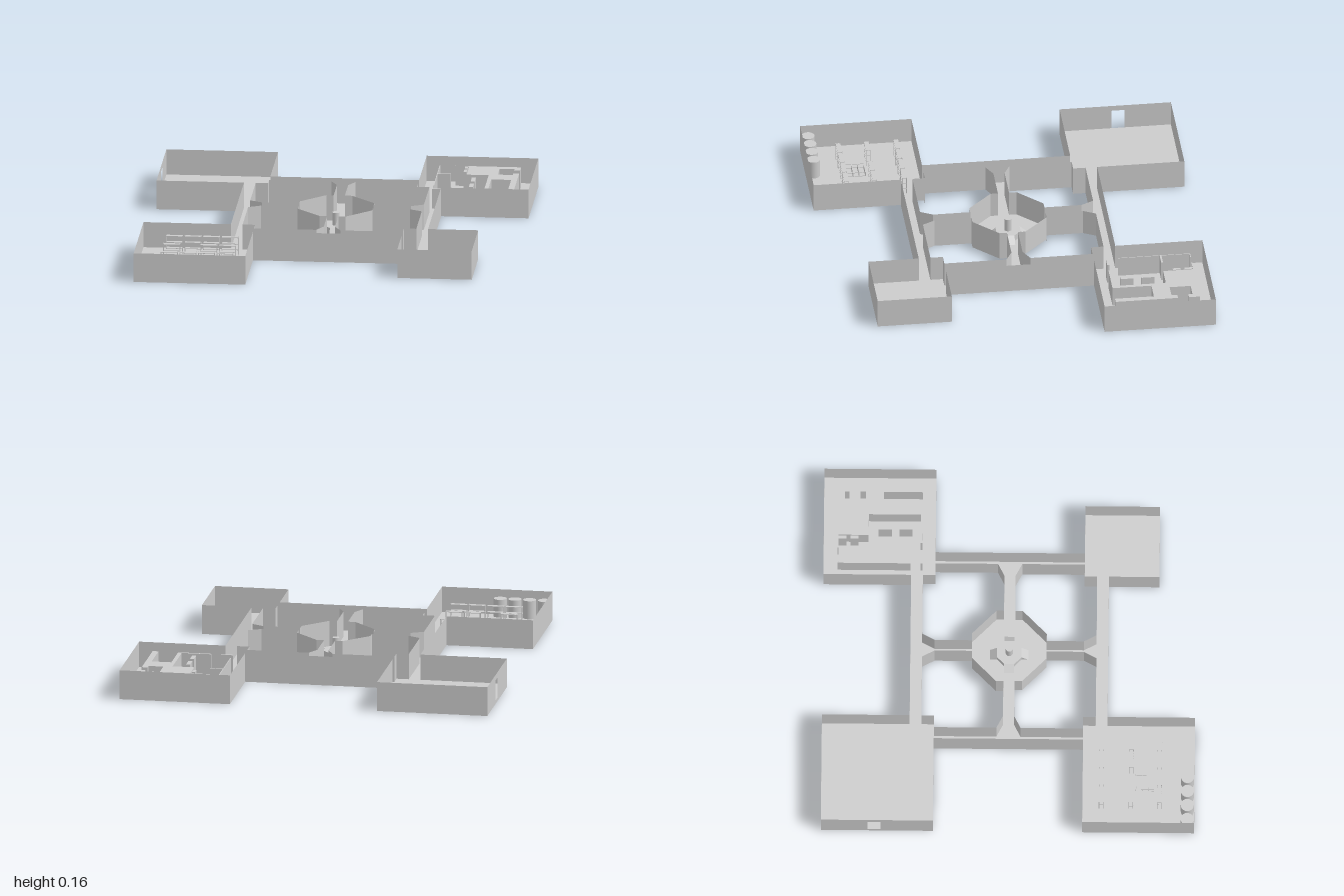
import * as THREE from 'three';

const FLOOR = 0.02, TOP = 0.16, DOOR_TOP = 0.13;
const solid = new THREE.MeshStandardMaterial({ color: 0xcccccc, flatShading: true });
const thin = new THREE.MeshStandardMaterial({ color: 0xcccccc, flatShading: true, side: THREE.DoubleSide });
const round = new THREE.MeshStandardMaterial({ color: 0xcccccc });

function add(parent, name, geometry, material = solid) {
  const mesh = new THREE.Mesh(geometry, material);
  mesh.name = name;
  parent.add(mesh);
  return mesh;
}

// Box given by its limits
function block(parent, name, x0, x1, y0, y1, z0, z1) {
  const mesh = add(parent, name, new THREE.BoxGeometry(x1 - x0, y1 - y0, z1 - z0));
  mesh.position.set((x0 + x1) / 2, (y0 + y1) / 2, (z0 + z1) / 2);
  return mesh;
}

// Raise a plan of [x, z] points from y0 to y1
const toPoints = (plan) => plan.map(([x, z]) => new THREE.Vector2(x, -z));
function prism(plan, y0, y1, holes = []) {
  const shape = new THREE.Shape(toPoints(plan));
  holes.forEach((h) => shape.holes.push(new THREE.Path(toPoints(h))));
  return new THREE.ExtrudeGeometry(shape, { depth: y1 - y0, bevelEnabled: false })
    .rotateX(-Math.PI / 2).translate(0, y0, 0);
}

// Thin upright walls along a closed plan; bottomOf may raise one to leave a doorway
function wallLoop(parent, name, plan, bottomOf = () => FLOOR) {
  const pos = [];
  plan.forEach(([x0, z0], i) => {
    const [x1, z1] = plan[(i + 1) % plan.length], y = bottomOf(i);
    pos.push(x0, y, z0, x1, y, z1, x1, TOP, z1, x0, y, z0, x1, TOP, z1, x0, TOP, z0);
  });
  const g = new THREE.BufferGeometry();
  g.setAttribute('position', new THREE.Float32BufferAttribute(pos, 3));
  g.computeVertexNormals();
  add(parent, name, g, thin);
}

// Shelf rack: four posts and three boards, standing on its own y = 0
function makeRack(name) {
  const rack = new THREE.Group();
  rack.name = name;
  const w = 0.045, d = 0.0125, t = 0.003;
  for (const sx of [-1, 1]) for (const sz of [-1, 1]) {
    const x = sx * (w - t / 2), z = sz * (d - t / 2);
    block(rack, 'rackPost', x - t / 2, x + t / 2, 0, 0.1, z - t / 2, z + t / 2);
  }
  for (const y of [0.03, 0.063, 0.097]) block(rack, 'rackBoard', -w, w, y - t / 2, y + t / 2, -d, d);
  return rack;
}

export function createModel() {
  const model = new THREE.Group();
  model.name = 'facility';

  // Outline of rooms and ring corridors; the last two points frame a doorway
  const outline = [
    [-1, -1], [-0.4, -1], [-0.4, -0.53], [0.4, -0.53], [0.4, -1], [1, -1], [1, -0.4],
    [0.53, -0.4], [0.53, 0.4], [0.8, 0.4], [0.8, 0.8], [0.4, 0.8], [0.4, 0.53],
    [-0.4, 0.53], [-0.4, 1], [-1, 1], [-1, 0.4], [-0.53, 0.4], [-0.53, -0.4],
    [-1, -0.4], [-1, -0.68], [-1, -0.75],
  ];
  // Open court between hub, spokes and ring, mirrored into four
  const court = [
    [0.03, 0.4], [0.065, 0.467], [0.4, 0.467], [0.4, 0.4], [0.467, 0.4], [0.467, 0.065],
    [0.4, 0.03], [0.2, 0.03], [0.2, 0.07], [0.07, 0.2], [0.03, 0.2],
  ];
  const courts = [];
  for (const sx of [-1, 1]) for (const sz of [-1, 1]) courts.push(court.map(([x, z]) => [x * sx, z * sz]));

  add(model, 'floor', prism(outline, 0, FLOOR, courts));
  wallLoop(model, 'outerWalls', outline, (i) => (i === 20 ? DOOR_TOP : FLOOR));
  courts.forEach((c) => wallLoop(model, 'courtWalls', c));

  // Central platform with four ramps and a column
  const hub = new THREE.Group();
  hub.name = 'hub';
  model.add(hub);
  const a = 0.065, b = 0.027, deck = 0.055;
  add(hub, 'platform', prism([[b, a], [a, b], [a, -b], [b, -a], [-b, -a], [-a, -b], [-a, b], [-b, a]], FLOOR, deck));
  for (let i = 0; i < 4; i++) {
    const side = new THREE.Shape([[a, FLOOR], [0.103, FLOOR], [a, deck]].map((p) => new THREE.Vector2(...p)));
    const ramp = new THREE.ExtrudeGeometry(side, { depth: 2 * b, bevelEnabled: false }).translate(0, 0, -b);
    add(hub, 'ramp', ramp).rotation.y = i * Math.PI / 2;
  }
  const column = add(hub, 'column', new THREE.CylinderGeometry(0.02, 0.02, 0.07, 24), round);
  column.position.y = deck + 0.035;

  // Room of partitions
  const maze = new THREE.Group();
  maze.name = 'partitionRoom';
  model.add(maze);
  const h = 0.13;
  add(maze, 'partitionBlock', prism([
    [0.636, -0.925], [0.914, -0.925], [0.914, -0.866], [0.882, -0.866], [0.882, -0.888], [0.802, -0.888],
    [0.802, -0.76], [0.882, -0.76], [0.882, -0.807], [0.914, -0.807], [0.914, -0.47], [0.882, -0.47],
    [0.882, -0.68], [0.775, -0.68], [0.775, -0.47], [0.594, -0.47], [0.594, -0.481], [0.754, -0.481],
    [0.754, -0.76], [0.636, -0.76],
  ], FLOOR, h));
  [
    [0.476, 0.48, -0.925, -0.535], [0.476, 0.513, -0.925, -0.921], [0.562, 0.636, -0.925, -0.921],
    [0.476, 0.55, -0.77, -0.76], [0.476, 0.54, -0.481, -0.47], [0.615, 0.631, -0.92, -0.877],
    [0.615, 0.631, -0.856, -0.813], [0.668, 0.69, -0.706, -0.636], [0.668, 0.69, -0.594, -0.524],
    [0.802, 0.882, -0.775, -0.76],
  ].forEach(([x0, x1, z0, z1]) => block(maze, 'partition', x0, x1, FLOOR, h, z0, z1));

  // Store room: rows of racks, one of them toppled
  const store = new THREE.Group();
  store.name = 'storeRoom';
  model.add(store);
  [0.5, 0.66, 0.812].forEach((z, row) => {
    for (let i = 0; i < 4; i++) {
      const fallen = row === 1 && i === 1;
      const rack = makeRack(fallen ? 'fallenRack' : 'rack');
      rack.position.set(-0.825 + i * 0.1, FLOOR, z);
      if (fallen) {
        rack.rotation.x = -Math.PI / 2;
        rack.position.set(-0.725, FLOOR + 0.0125, 0.783);
      }
      store.add(rack);
    }
  });

  // Barrels along the store room wall
  for (let i = 0; i < 4; i++) {
    const barrel = add(store, 'barrel', new THREE.CylinderGeometry(0.035, 0.035, 0.1, 24), round);
    barrel.position.set(-0.963 + i * 0.08, FLOOR + 0.05, 0.962);
  }
  return model;
}
